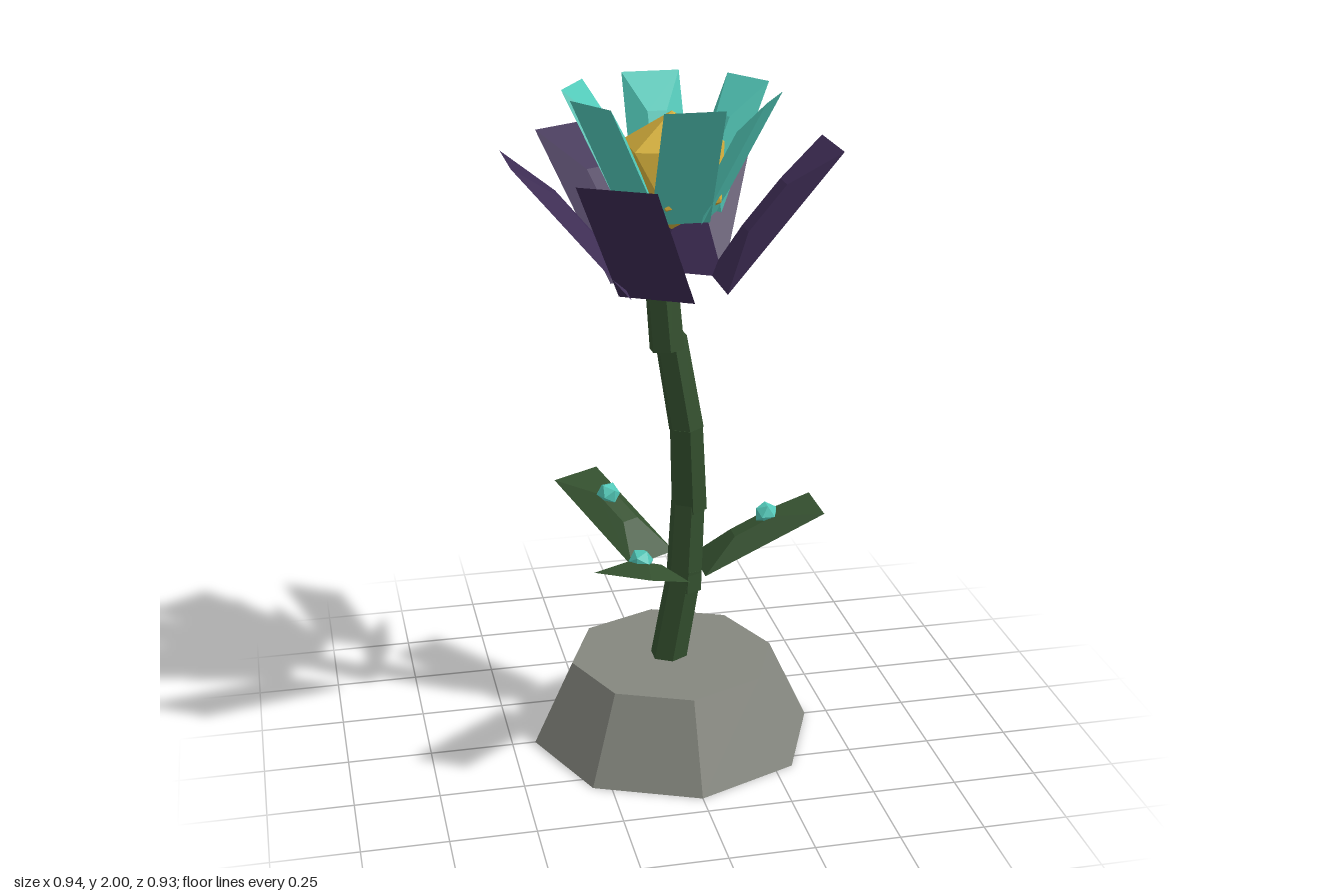
import * as THREE from 'three';

const flat = (name, color) => {
  const m = new THREE.MeshStandardMaterial({ color, flatShading: true });
  m.name = name;
  return m;
};

export function createModel() {
  const stone = flat('stone grey', 0x85877f);
  const green = flat('dark green', 0x34502f);
  const purple = flat('deep purple', 0x3d2c54);
  const teal = flat('turquoise', 0x52c8b8);
  const gold = flat('gold', 0xd4af3c);

  const model = new THREE.Group();
  model.name = 'crystalFlower';

  const add = (name, geometry, material, parent = model) => {
    const mesh = new THREE.Mesh(geometry, material);
    mesh.name = name;
    parent.add(mesh);
    return mesh;
  };

  // Blade: flat rectangular back, inner side raised to a small plateau
  const bladeGeometry = (width, length, depth) => {
    const g = new THREE.BoxGeometry(width, length, depth);
    g.translate(0, 0, -depth / 2);
    const p = g.attributes.position;
    for (let i = 0; i < p.count; i++) {
      if (p.getZ(i) < -depth / 2) p.setXY(i, p.getX(i) / 3, p.getY(i) / 3);
    }
    g.computeVertexNormals();
    return g;
  };

  // Blade leaning outward from radius r0, height y0 to r1, y1; angle measured from +z to +x
  const addBlade = (name, material, width, [r0, y0], [r1, y1], degrees) => {
    const arm = new THREE.Group();
    arm.name = name + 'Arm';
    arm.rotation.y = THREE.MathUtils.degToRad(degrees);
    const length = Math.hypot(r1 - r0, y1 - y0);
    const blade = add(name, bladeGeometry(width, length, 0.043), material, arm);
    blade.position.set(0, (y0 + y1) / 2, (r0 + r1) / 2);
    blade.rotation.x = Math.atan2(r1 - r0, y1 - y0);
    model.add(arm);
    return arm;
  };

  // Eight-sided rock base
  add('rockBase', new THREE.CylinderGeometry(0.31, 0.43, 0.26, 8), stone).position.y = 0.13;

  // Crooked stem of slightly misaligned segments
  const segments = [
    [[-0.016, 0.22, 0], [0.042, 0.55, 0]],
    [[0.036, 0.48, 0], [0.052, 0.77, -0.008]],
    [[0.056, 0.74, -0.01], [0.042, 1.01, 0.01]],
    [[0.043, 1.0, 0.006], [0.0, 1.28, -0.015]],
    [[-0.018, 1.255, 0.02], [-0.038, 1.55, 0.0]],
  ];
  const up = new THREE.Vector3(0, 1, 0);
  segments.forEach(([from, to], i) => {
    const a = new THREE.Vector3(...from);
    const b = new THREE.Vector3(...to);
    const dir = b.clone().sub(a);
    const r = 0.057 - i * 0.001;
    const s = add('stemSegment' + (i + 1), new THREE.CylinderGeometry(r - 0.004, r, dir.length(), 6), green);
    s.position.copy(a).add(b).multiplyScalar(0.5);
    s.quaternion.setFromUnitVectors(up, dir.normalize());
  });

  // Three leaves, each carrying a small gem
  [90, 210, 330].forEach((angle) => {
    const arm = addBlade('leaf', green, 0.17, [0.085, 0.55], [0.45, 0.72], angle);
    add('leafGem', new THREE.IcosahedronGeometry(0.037, 0), teal, arm).position.set(0, 0.7, 0.292);
  });

  // Outer petals, with one gap at the front left
  [90, 150, 210, 270, 330].forEach((angle) =>
    addBlade('outerPetal', purple, 0.225, [0.138, 1.435], [0.47, 1.83], angle));

  // Inner petals
  for (let i = 0; i < 6; i++) {
    addBlade('innerPetal', teal, 0.17, [0.113, 1.65], [0.295, 2.0], i * 60);
  }

  // Golden heart, standing on one point
  const heart = add('heart', new THREE.IcosahedronGeometry(0.17, 0), gold);
  heart.position.y = 1.775;
  heart.rotation.z = -Math.atan(2 / (1 + Math.sqrt(5)));

  return model;
}
